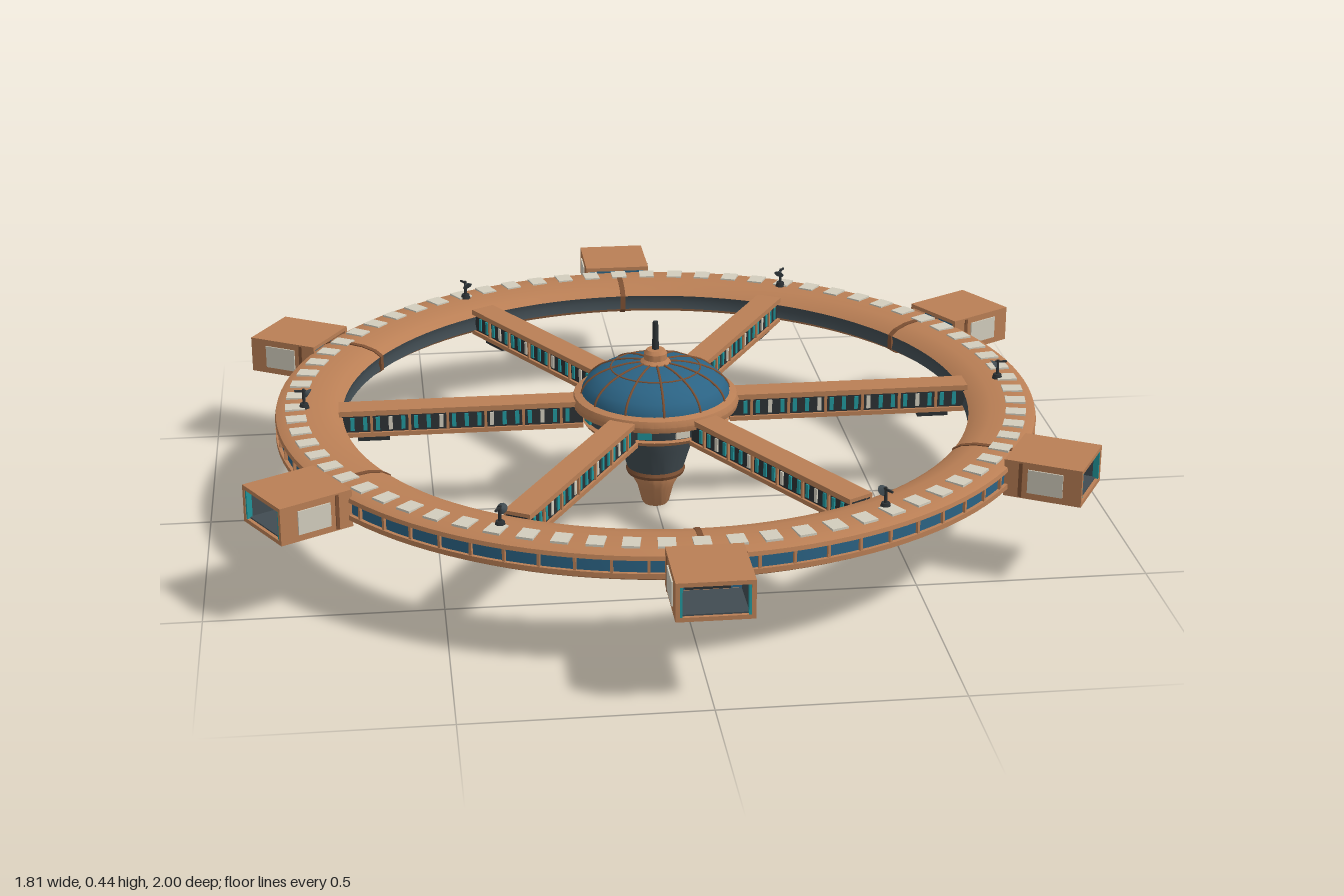
import * as THREE from 'three';
import { toCreasedNormals } from 'three/addons/utils/BufferGeometryUtils.js';

const paint = (name, color) => {
  const m = new THREE.MeshStandardMaterial({ color });
  m.name = name;
  return m;
};
const copper = paint('copper hull', 0xba7f55);
const bronze = paint('dark bronze trim', 0x7d5033);
const slate = paint('slate hull', 0x414c52);
const glass = paint('blue glass', 0x2b6384);
const teal = paint('teal light', 0x21969c);
const cream = paint('cream panel', 0xd2cdbd);
const dark = paint('dark metal', 0x2c3134);

function add(parent, name, geometry, material, x = 0, y = 0, z = 0) {
  const mesh = new THREE.Mesh(geometry, material);
  mesh.name = name;
  mesh.position.set(x, y, z);
  parent.add(mesh);
  return mesh;
}
const box = (parent, name, material, w, h, d, x, y, z) =>
  add(parent, name, new THREE.BoxGeometry(w, h, d), material, x, y, z);

// Surface of revolution from [radius, height] pairs, with crisp edges
function lathe(parent, name, material, pairs, segments = 48) {
  const pts = pairs.map(([r, y]) => new THREE.Vector2(r, y));
  return add(parent, name, toCreasedNormals(new THREE.LatheGeometry(pts, segments), 0.6), material);
}

// Group turned about y, so that its local +x points outward
function spoked(parent, name, degrees) {
  const g = new THREE.Group();
  g.name = name;
  g.rotation.y = THREE.MathUtils.degToRad(degrees);
  parent.add(g);
  return g;
}

function rectangle(w, h, Type = THREE.Shape) {
  const s = new Type();
  s.moveTo(-w / 2, -h / 2);
  s.lineTo(w / 2, -h / 2);
  s.lineTo(w / 2, h / 2);
  s.lineTo(-w / 2, h / 2);
  s.closePath();
  return s;
}

// Habitat ring: copper shells, recessed window band, slate inner wall
const LOWER = [[0.697, 0.213], [0.715, 0.201], [0.745, 0.194], [0.79, 0.193], [0.825, 0.198], [0.845, 0.209], [0.845, 0.22], [0.837, 0.22]];
const UPPER = [[0.837, 0.248], [0.845, 0.248], [0.843, 0.257], [0.825, 0.264], [0.79, 0.266], [0.745, 0.264], [0.715, 0.257], [0.697, 0.246]];

function buildRing(root) {
  const ring = new THREE.Group();
  ring.name = 'habitatRing';
  root.add(ring);
  lathe(ring, 'ringLowerShell', copper, LOWER, 120);
  lathe(ring, 'ringUpperShell', copper, UPPER, 120);
  lathe(ring, 'ringWindowBand', glass, [[0.837, 0.22], [0.837, 0.248]], 120);
  lathe(ring, 'ringInnerWall', slate, [[0.697, 0.246], [0.702, 0.23], [0.697, 0.213]], 120);

  for (let i = 0; i < 72; i++) {
    const cell = spoked(ring, 'ringCell', i * 5);
    box(cell, 'roofPanel', cream, 0.044, 0.006, 0.036, 0.8, 0.266, 0);
    const mullion = spoked(ring, 'mullionCell', i * 5 + 2.5);
    box(mullion, 'windowMullion', copper, 0.008, 0.028, 0.006, 0.839, 0.234, 0);
  }
}

// Raised collar following the ring section
function buildCollar(parent) {
  const shape = new THREE.Shape([...LOWER, ...UPPER].map(([r, y]) =>
    new THREE.Vector2(0.771 + (r - 0.771) * 1.03, 0.23 + (y - 0.23) * 1.06)));
  const geo = new THREE.ExtrudeGeometry(shape, { depth: 0.012, bevelEnabled: false });
  add(parent, 'ringCollar', geo, bronze, 0, 0, -0.006);
}

// Open-ended hangar pod on the outside of the ring
function buildPod(root, degrees) {
  const pod = spoked(root, 'hangarPod', degrees);
  buildCollar(pod);
  const shell = rectangle(0.156, 0.082);
  shell.holes.push(rectangle(0.138, 0.064, THREE.Path));
  const geo = new THREE.ExtrudeGeometry(shell, { depth: 0.168, bevelEnabled: false });
  geo.rotateY(Math.PI / 2);
  add(pod, 'podShell', geo, copper, 0.832, 0.234, 0);
  box(pod, 'podBackWall', glass, 0.01, 0.066, 0.14, 0.875, 0.234, 0);
  box(pod, 'podDoor', dark, 0.008, 0.046, 0.09, 0.882, 0.228, 0);
  for (const s of [-1, 1]) {
    box(pod, 'podLiningFlat', slate, 0.105, 0.003, 0.138, 0.94, 0.234 + s * 0.0305, 0);
    box(pod, 'podLiningSide', slate, 0.105, 0.064, 0.003, 0.94, 0.234, s * 0.0675);
    box(pod, 'podEntryLight', teal, 0.012, 0.064, 0.006, 0.993, 0.234, s * 0.067);
    box(pod, 'podSidePanel', cream, 0.076, 0.052, 0.006, 0.922, 0.234, s * 0.078);
    box(pod, 'podSideTrim', bronze, 0.008, 0.076, 0.006, 0.868, 0.234, s * 0.077);
  }
}

// Spoke corridor with windows on both sides, a lower pod and a ring antenna
function buildSpoke(root, degrees) {
  const spoke = spoked(root, 'spoke', degrees);
  box(spoke, 'spokeCore', dark, 0.54, 0.05, 0.048, 0.435, 0.23, 0);
  box(spoke, 'spokeRoof', copper, 0.54, 0.012, 0.06, 0.435, 0.257, 0);
  box(spoke, 'spokeFloor', copper, 0.54, 0.01, 0.06, 0.435, 0.206, 0);
  for (let i = 0; i < 18; i++) {
    const x = 0.2 + i * 0.028;
    for (const s of [-1, 1]) {
      box(spoke, 'spokeWindow', i % 4 === 2 ? cream : teal, 0.009, 0.03, 0.004, x, 0.231, s * 0.025);
      if (i % 3 === 0) box(spoke, 'spokePost', copper, 0.006, 0.042, 0.008, x + 0.014, 0.231, s * 0.025);
    }
  }
  box(spoke, 'spokeUndersidePod', dark, 0.07, 0.016, 0.036, 0.63, 0.195, 0);

  // Antenna on the ring roof
  add(spoke, 'antennaFoot', new THREE.CylinderGeometry(0.009, 0.012, 0.012, 10), dark, 0.78, 0.27, 0);
  add(spoke, 'antennaMast', new THREE.CylinderGeometry(0.003, 0.004, 0.045, 8), dark, 0.78, 0.287, 0);
  const dish = add(spoke, 'antennaDish', new THREE.ConeGeometry(0.012, 0.01, 12), slate, 0.774, 0.302, 0);
  dish.rotation.z = -0.9;
  box(spoke, 'antennaArm', dark, 0.026, 0.004, 0.004, 0.787, 0.305, 0);
}

// Central hub: glazed dome, rim, window belt, keel and antenna
function buildHub(root) {
  const hub = new THREE.Group();
  hub.name = 'hub';
  root.add(hub);
  const dome = [[0.166, 0.268], [0.164, 0.28], [0.153, 0.297], [0.13, 0.315], [0.1, 0.328], [0.065, 0.337], [0.025, 0.341]];
  lathe(hub, 'dome', glass, dome);
  lathe(hub, 'hubRim', copper, [[0.164, 0.238], [0.184, 0.242], [0.187, 0.255], [0.182, 0.268], [0.162, 0.273]]);
  lathe(hub, 'hubBelt', slate, [[0.155, 0.208], [0.165, 0.24]]);
  lathe(hub, 'hubUnderside', copper, [[0.09, 0.2], [0.16, 0.202], [0.166, 0.211], [0.155, 0.214]]);
  lathe(hub, 'keel', slate, [[0.058, 0.09], [0.064, 0.092], [0.082, 0.15], [0.094, 0.19], [0.096, 0.204]]);
  lathe(hub, 'keelBand', bronze, [[0.045, 0.077], [0.064, 0.077], [0.067, 0.085], [0.064, 0.093], [0.05, 0.093]]);
  lathe(hub, 'keelTip', copper, [[0, 0], [0.027, 0], [0.031, 0.006], [0.041, 0.045], [0.05, 0.062], [0.05, 0.08]]);
  lathe(hub, 'domeCap', copper, [[0.036, 0.334], [0.034, 0.342], [0.026, 0.348], [0.026, 0.362], [0.02, 0.37], [0, 0.371]], 24);
  add(hub, 'hubAntenna', new THREE.CylinderGeometry(0.006, 0.008, 0.07, 12), dark, 0, 0.4, 0);

  // Dome ribs and belt windows
  const curve = new THREE.CatmullRomCurve3(dome.map(([r, y]) => new THREE.Vector3(r, y, 0)));
  const ribGeo = new THREE.TubeGeometry(curve, 16, 0.0028, 6);
  for (let i = 0; i < 12; i++) {
    add(spoked(hub, 'domeRib', i * 30), 'domeRibTube', ribGeo, bronze);
    const win = spoked(hub, 'beltWindows', i * 30 + 15);
    box(win, 'beltWindow', i % 2 ? cream : teal, 0.006, 0.016, 0.032, 0.161, 0.226, 0);
  }
  const hoop = add(hub, 'domeHoop', new THREE.TorusGeometry(0.1, 0.002, 6, 48), bronze, 0, 0.328, 0);
  hoop.rotation.x = Math.PI / 2;
}

export function createModel() {
  const root = new THREE.Group();
  root.name = 'ringStation';
  buildRing(root);
  buildHub(root);
  for (let i = 0; i < 6; i++) {
    buildSpoke(root, i * 60);
    buildPod(root, i * 60 + 30);
  }
  return root;
}
